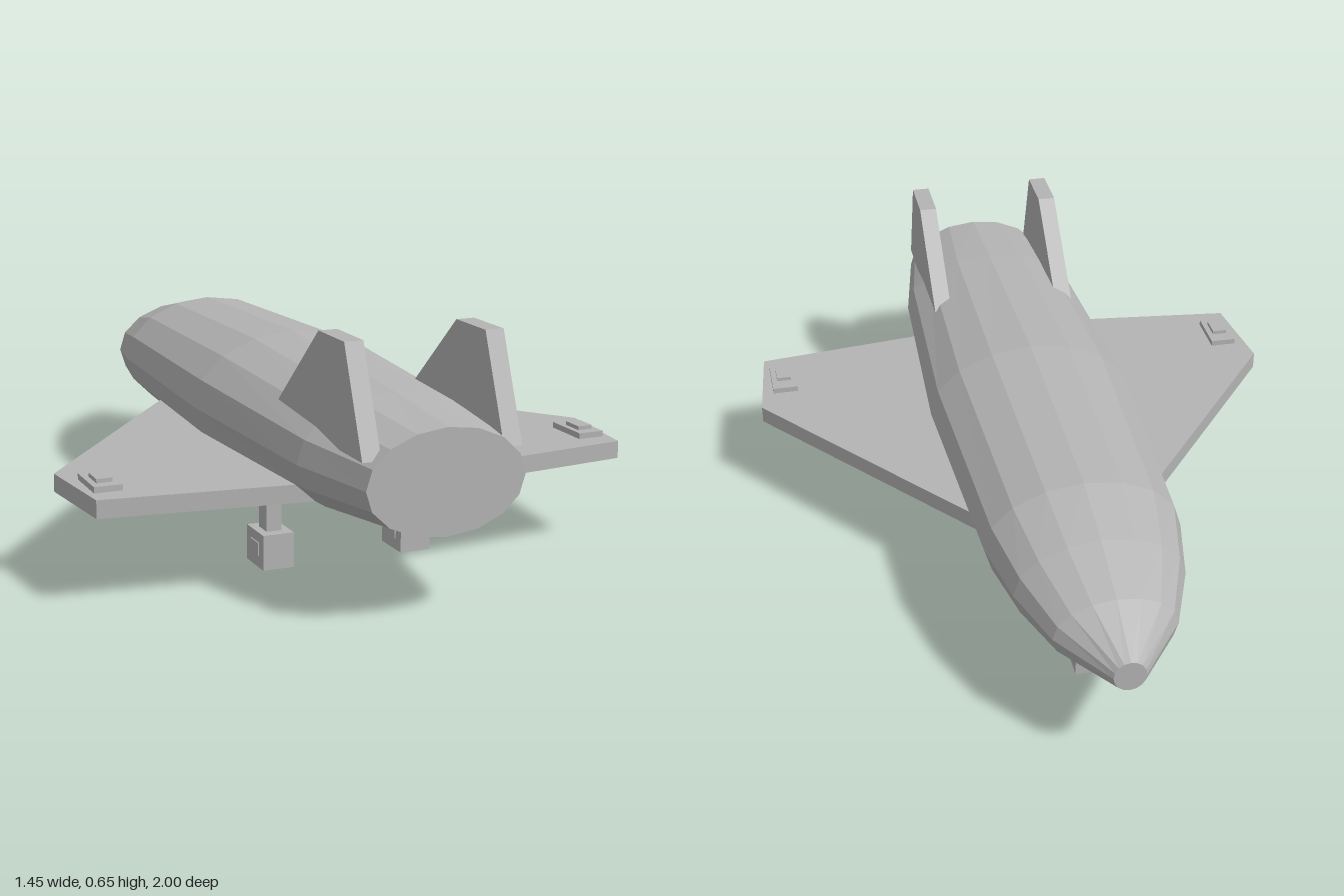
import * as THREE from 'three';

const hull = new THREE.MeshStandardMaterial({ color: 0xb4b4b4 });
hull.name = 'hullGrey';

function add(group, name, geometry) {
  const mesh = new THREE.Mesh(geometry, hull);
  mesh.name = name;
  group.add(mesh);
  return mesh;
}

function box(group, name, w, h, d, x, y, z) {
  add(group, name, new THREE.BoxGeometry(w, h, d)).position.set(x, y, z);
}

// Faceted fuselage lofted through elliptical cross-sections, tail to nose
function fuselageGeometry() {
  const sides = 16;
  // z, half width, top, bottom
  const sections = [
    [1, 0.2, 0.467, 0.212], [0.73, 0.25, 0.49, 0.185], [0.12, 0.278, 0.523, 0.16],
    [-0.52, 0.25, 0.505, 0.178], [-0.7, 0.213, 0.463, 0.197],
    [-0.86, 0.152, 0.408, 0.22], [-1, 0.04, 0.333, 0.253],
  ];
  const pos = [], idx = [];
  for (const [z, w, top, bottom] of sections) {
    for (let j = 0; j < sides; j++) {
      const a = (j / sides) * Math.PI * 2;
      pos.push(-w * Math.sin(a), (top + bottom) / 2 + ((top - bottom) / 2) * Math.cos(a), z);
    }
  }
  const last = (sections.length - 1) * sides;
  for (let i = 0; i < last; i += sides) {
    for (let j = 0; j < sides; j++) {
      const k = (j + 1) % sides;
      idx.push(i + j, i + sides + j, i + k, i + k, i + sides + j, i + sides + k);
    }
  }
  // End caps
  for (let j = 1; j < sides - 1; j++) {
    idx.push(0, j, j + 1, last, last + j + 1, last + j);
  }
  const g = new THREE.BufferGeometry();
  g.setAttribute('position', new THREE.Float32BufferAttribute(pos, 3));
  g.setIndex(idx);
  const flat = g.toNonIndexed();
  flat.computeVertexNormals();
  return flat;
}

function extrude(points, depth) {
  const shape = new THREE.Shape(points.map(([a, b]) => new THREE.Vector2(a, b)));
  return new THREE.ExtrudeGeometry(shape, { depth, bevelEnabled: false });
}

// Wheel block on a strut, with thin hub plates on both sides
function landingGear(name, x, z) {
  const gear = new THREE.Group();
  gear.name = name;
  box(gear, 'strut', 0.04, 0.17, 0.05, 0, 0.165, 0);
  box(gear, 'wheelBlock', 0.082, 0.09, 0.108, 0, 0.045, 0);
  for (const s of [-1, 1]) box(gear, 'hubPlate', 0.004, 0.035, 0.05, s * 0.042, 0.047, 0);
  gear.position.set(x, 0, z);
  return gear;
}

export function createModel() {
  const model = new THREE.Group();
  model.name = 'spaceplane';
  add(model, 'fuselage', fuselageGeometry());

  for (const s of [-1, 1]) {
    const side = s > 0 ? 'left' : 'right';

    // Delta wing
    const wing = extrude(
      [[0.17, -0.35], [0.724, 0.36], [0.697, 0.615], [0.17, 0.677]].map(([x, z]) => [s * x, z]), 0.045);
    wing.rotateX(Math.PI / 2).translate(0, 0.272, 0);
    add(model, side + 'Wing', wing);

    // Stepped plates near the wing tip
    box(model, side + 'WingPlate', 0.07, 0.016, 0.13, s * 0.65, 0.279, 0.495);
    box(model, side + 'WingPlateStep', 0.04, 0.012, 0.06, s * 0.65, 0.291, 0.5);

    // Upright tail fin
    const fin = extrude([[0.98, 0.4], [0.88, 0.652], [0.74, 0.652], [0.46, 0.4]], 0.047);
    fin.rotateY(-Math.PI / 2).translate(s * 0.177 + 0.0235, 0, 0);
    add(model, side + 'TailFin', fin);

    model.add(landingGear(side + 'MainGear', s * 0.189, 0.425));
  }
  model.add(landingGear('noseGear', 0, -0.578));
  return model;
}
